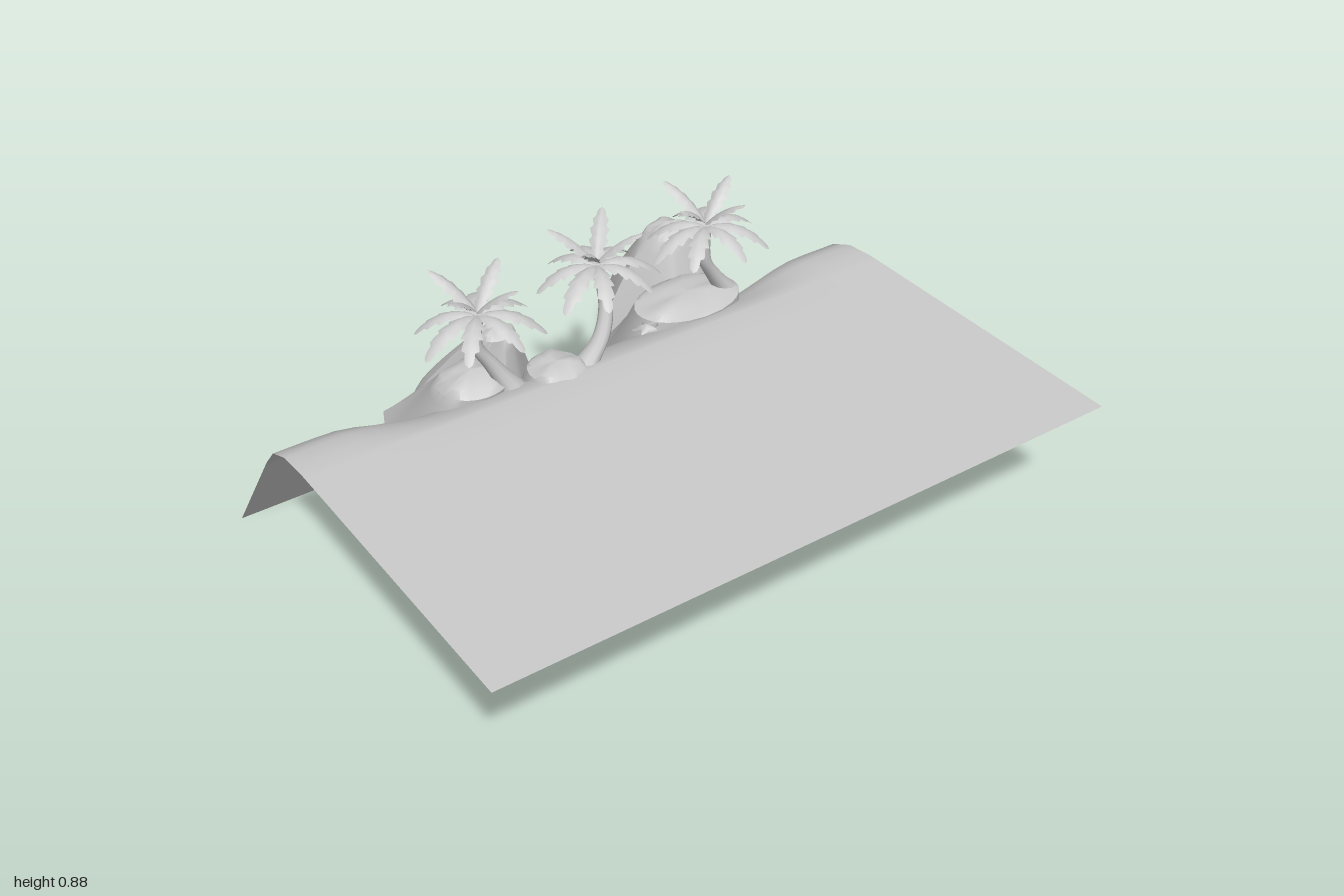
import * as THREE from 'three';
import { toCreasedNormals } from 'three/addons/utils/BufferGeometryUtils.js';

const material = new THREE.MeshStandardMaterial({ color: 0xcccccc, side: THREE.DoubleSide });
const { lerp, smoothstep } = THREE.MathUtils;

function mesh(name, geometry) {
  const m = new THREE.Mesh(geometry, material);
  m.name = name;
  return m;
}

// Skin a list of rings (each a list of Vector3); closed joins the last point to the first
function loft(rings, closed = true) {
  const n = rings[0].length, index = [];
  for (let r = 0; r < rings.length - 1; r++) {
    for (let i = 0; i < (closed ? n : n - 1); i++) {
      const a = r * n + i, b = r * n + (i + 1) % n;
      index.push(a, a + n, b, b, a + n, b + n);
    }
  }
  const g = new THREE.BufferGeometry().setFromPoints(rings.flat());
  g.setIndex(index);
  g.computeVertexNormals();
  return g;
}

// Height along a [z, y] profile that runs towards the back
function profileHeight(profile, z) {
  for (let i = 1; i < profile.length; i++) {
    const [z0, y0] = profile[i - 1], [z1, y1] = profile[i];
    if (z >= z1) return lerp(y0, y1, (z - z0) / (z1 - z0));
  }
  return profile.at(-1)[1];
}

// Flat sheet that bends down at the back, with a fuller brow near both ends
function ground() {
  const middle = [[0.87, 0.505], [-0.1, 0.505], [-0.17, 0.485], [-0.27, 0.425], [-0.39, 0.31], [-0.65, 0]];
  const ends = [[0.87, 0.505], [-0.13, 0.505], [-0.23, 0.495], [-0.31, 0.46], [-0.37, 0.39], [-0.65, 0]];
  const rows = [0.87, 0.4, 0, -0.1, -0.13, -0.17, -0.23, -0.27, -0.31, -0.37, -0.39, -0.5, -0.65];
  const columns = 32, rings = [];
  for (const z of rows) {
    const row = [];
    for (let i = 0; i <= columns; i++) {
      const x = -1 + 2 * i / columns;
      const w = smoothstep(Math.abs(x), 0.5, 0.85);
      row.push(new THREE.Vector3(x, lerp(profileHeight(middle, z), profileHeight(ends, z), w), z));
    }
    rings.push(row);
  }
  return mesh('ground', loft(rings.reverse().map(r => r.reverse()), false));
}

// Rock with an angular foot narrowing to a rounded, lumpy top
function rock({ name, foot, footY, top, radius, topY, peak, bulge }) {
  const step = 5, base = [];
  foot.forEach(([x, z], i) => {
    const [x1, z1] = foot[(i + 1) % foot.length];
    for (let k = 0; k < step; k++) base.push([lerp(x, x1, k / step), lerp(z, z1, k / step)]);
  });
  const cx = base.reduce((s, p) => s + p[0], 0) / base.length;
  const cz = base.reduce((s, p) => s + p[1], 0) / base.length;
  const rings = [];
  const addRing = (y, blend, scale, lump) => rings.push(base.map(([x, z]) => {
    const a = Math.atan2(z - cz, x - cx);
    const k = scale * (1 + lump * Math.sin(a * 5 + 1));
    return new THREE.Vector3(
      lerp(x, top[0] + radius[0] * Math.cos(a) * k, blend),
      y + lump * 0.04 * Math.sin(a * 3),
      lerp(z, top[1] + radius[1] * Math.sin(a) * k, blend));
  }));
  for (let i = 0; i <= 8; i++) addRing(lerp(footY, topY, i / 8), Math.pow(i / 8, bulge), 1, 0);
  addRing(lerp(topY, peak, 0.5), 1, 0.8, 0.12);
  addRing(lerp(topY, peak, 0.85), 1, 0.45, 0.12);
  addRing(peak, 1, 0.001, 0);
  return mesh(name, toCreasedNormals(loft(rings), 0.7));
}

// Tapered, bent trunk with a flared root
function trunk(points) {
  const curve = new THREE.CatmullRomCurve3(points.map(p => new THREE.Vector3(...p)));
  const rings = [];
  for (let i = 0; i <= 14; i++) {
    const t = i / 14, p = curve.getPoint(t);
    const r = 0.017 + 0.012 * (1 - t) + 0.014 * Math.pow(1 - t, 6);
    rings.push(Array.from({ length: 10 }, (_, k) => {
      const a = k / 10 * Math.PI * 2;
      return new THREE.Vector3(p.x + r * Math.cos(a), p.y, p.z + r * Math.sin(a));
    }));
  }
  return mesh('trunk', loft(rings));
}

// Drooping leaf with a raised midrib and toothed edges, pointing along +x
function frondGeometry(length, rise, droop, halfWidth) {
  const rings = [], rows = 20;
  for (let i = 0; i <= rows; i++) {
    const s = i / rows, tooth = (s * 5) % 1;
    const w = halfWidth * Math.pow(Math.sin(Math.PI * Math.min(1, 0.08 + 0.92 * s)), 0.6) * (0.62 + 0.45 * tooth);
    const x = length * s, y = rise * s - droop * s * s;
    rings.push([[-1, 0.45], [-0.5, 0.15], [0, 0], [0.5, 0.15], [1, 0.45]].map(([k, drop]) =>
      new THREE.Vector3(x + 0.25 * w * Math.abs(k), y - drop * w, -k * w)));
  }
  return loft(rings, false);
}

const lowerFrond = frondGeometry(0.185, 0.09, 0.145, 0.034);
const upperFrond = frondGeometry(0.135, 0.17, 0.07, 0.03);

function palm(points, turn) {
  const g = new THREE.Group();
  g.name = 'palmTree';
  g.add(trunk(points));
  const crown = new THREE.Group();
  crown.name = 'crown';
  crown.position.set(...points.at(-1));
  const ring = (geometry, count, offset, y) => {
    for (let i = 0; i < count; i++) {
      const f = mesh('frond', geometry);
      f.position.y = y;
      f.rotation.y = offset + i / count * Math.PI * 2 + 0.1 * Math.sin(i * 2.3);
      f.scale.setScalar(1 + 0.07 * Math.sin(i * 1.9 + turn));
      crown.add(f);
    }
  };
  ring(lowerFrond, 8, turn, 0);
  ring(upperFrond, 4, turn + 0.35, 0.012);
  g.add(crown);
  return g;
}

// Five-armed star with a domed middle, lying on the sheet
function starfish() {
  const ring = (scale, y) => Array.from({ length: 10 }, (_, i) => {
    const a = i / 10 * Math.PI * 2, r = (i % 2 ? 0.02 : 0.045) * scale;
    return new THREE.Vector3(r * Math.cos(a), y, r * Math.sin(a));
  });
  const star = mesh('starfish', loft([ring(1, 0), ring(0.85, 0.01), ring(0.4, 0.016), ring(0.001, 0.018)]));
  star.position.set(0.18, 0.49, -0.2);
  star.rotation.x = -0.22;
  return star;
}

export function createModel() {
  const model = new THREE.Group();
  model.name = 'palmShore';
  model.add(ground(), starfish());

  const rocks = [
    { name: 'tallBackRock', foot: [[0.31, -0.65], [0.49, -0.88], [0.65, -0.86], [0.76, -0.55], [0.64, -0.45], [0.48, -0.44]],
      footY: 0.175, top: [0.53, -0.59], radius: [0.08, 0.065], topY: 0.53, peak: 0.565, bulge: 1.3 },
    { name: 'wideFrontRock', foot: [[0.1, -0.3], [0.21, -0.54], [0.31, -0.66], [0.56, -0.67], [0.68, -0.36], [0.58, -0.24], [0.22, -0.23]],
      footY: 0.145, top: [0.38, -0.27], radius: [0.18, 0.12], topY: 0.495, peak: 0.52, bulge: 0.9 },
    { name: 'leftBackRock', foot: [[-0.4, -0.69], [-0.32, -0.77], [-0.13, -0.81], [0, -0.56], [-0.13, -0.4], [-0.22, -0.35], [-0.32, -0.45]],
      footY: 0.145, top: [-0.21, -0.43], radius: [0.06, 0.05], topY: 0.5, peak: 0.525, bulge: 1.15 },
    { name: 'leftFrontRock', foot: [[-0.6, -0.33], [-0.55, -0.54], [-0.49, -0.67], [-0.38, -0.68], [-0.24, -0.4], [-0.27, -0.25], [-0.5, -0.24]],
      footY: 0.18, top: [-0.39, -0.26], radius: [0.11, 0.1], topY: 0.495, peak: 0.535, bulge: 0.95 },
    { name: 'middleRock', foot: [[-0.31, -0.17], [-0.28, -0.36], [-0.08, -0.36], [-0.04, -0.17], [-0.08, -0.14], [-0.27, -0.14]],
      footY: 0.15, top: [-0.16, -0.17], radius: [0.085, 0.09], topY: 0.5, peak: 0.525, bulge: 1 },
  ];
  rocks.forEach(r => model.add(rock(r)));

  model.add(
    palm([[-0.3, 0.48, -0.2], [-0.355, 0.57, -0.21], [-0.4, 0.65, -0.21], [-0.395, 0.75, -0.2]], 0.2),
    palm([[-0.07, 0.48, -0.16], [-0.01, 0.56, -0.16], [0.02, 0.65, -0.18], [0.012, 0.765, -0.215]], 0.5),
    palm([[0.52, 0.49, -0.26], [0.46, 0.57, -0.25], [0.42, 0.64, -0.24], [0.415, 0.755, -0.23]], 0.05));
  return model;
}
